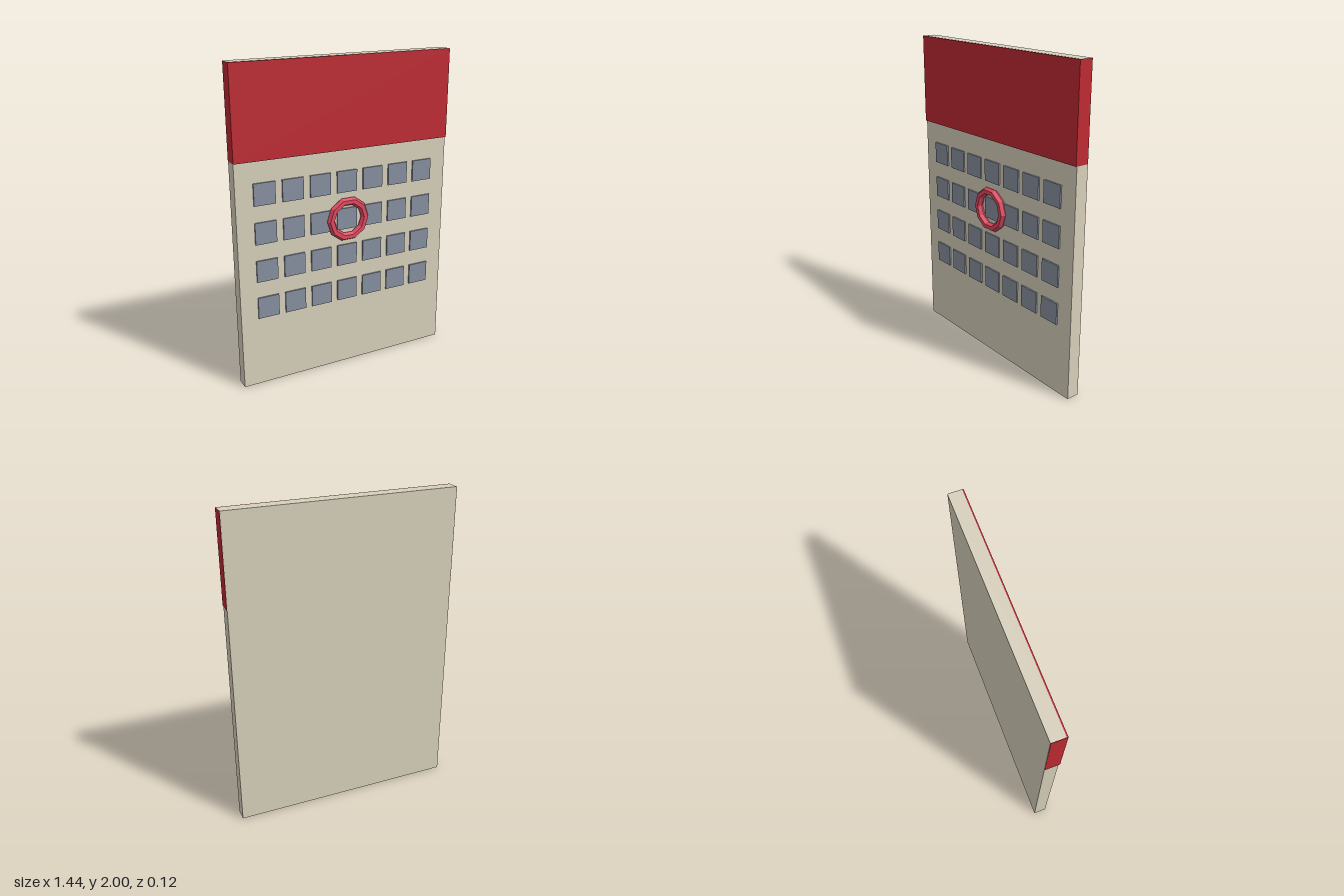
import * as THREE from 'three';

const material = (color) => new THREE.MeshStandardMaterial({ color, flatShading: true });

function addMesh(group, name, geometry, mat, x, y, z) {
  const mesh = new THREE.Mesh(geometry, mat);
  mesh.name = name;
  mesh.position.set(x, y, z);
  group.add(mesh);
  return mesh;
}

export function createModel() {
  const model = new THREE.Group();
  model.name = 'wallCalendar';

  // Backing board
  addMesh(model, 'board', new THREE.BoxGeometry(1.436, 2, 0.082), material(0xd8d0bc), 0, 1, -0.02);

  // Coloured header block, wrapping the sides and standing just proud of the front
  addMesh(model, 'header', new THREE.BoxGeometry(1.44, 0.559, 0.088), material(0xbe2a32), 0, 1.7195, -0.015);

  // Day tiles: four weeks of seven
  const days = new THREE.Group();
  days.name = 'dayTiles';
  model.add(days);
  const tile = new THREE.BoxGeometry(0.136, 0.136, 0.02);
  const tileMaterial = material(0x8890a0);
  for (let week = 0; week < 4; week++) {
    for (let day = 0; day < 7; day++) {
      addMesh(days, 'dayTile', tile, tileMaterial, (day - 3) * 0.18, 1.243 - week * 0.24, 0.021);
    }
  }

  // Faceted ring marking one day
  addMesh(model, 'markerRing', new THREE.TorusGeometry(0.118, 0.026, 6, 10), material(0xe04860), 0, 1.003, 0.038);

  return model;
}
